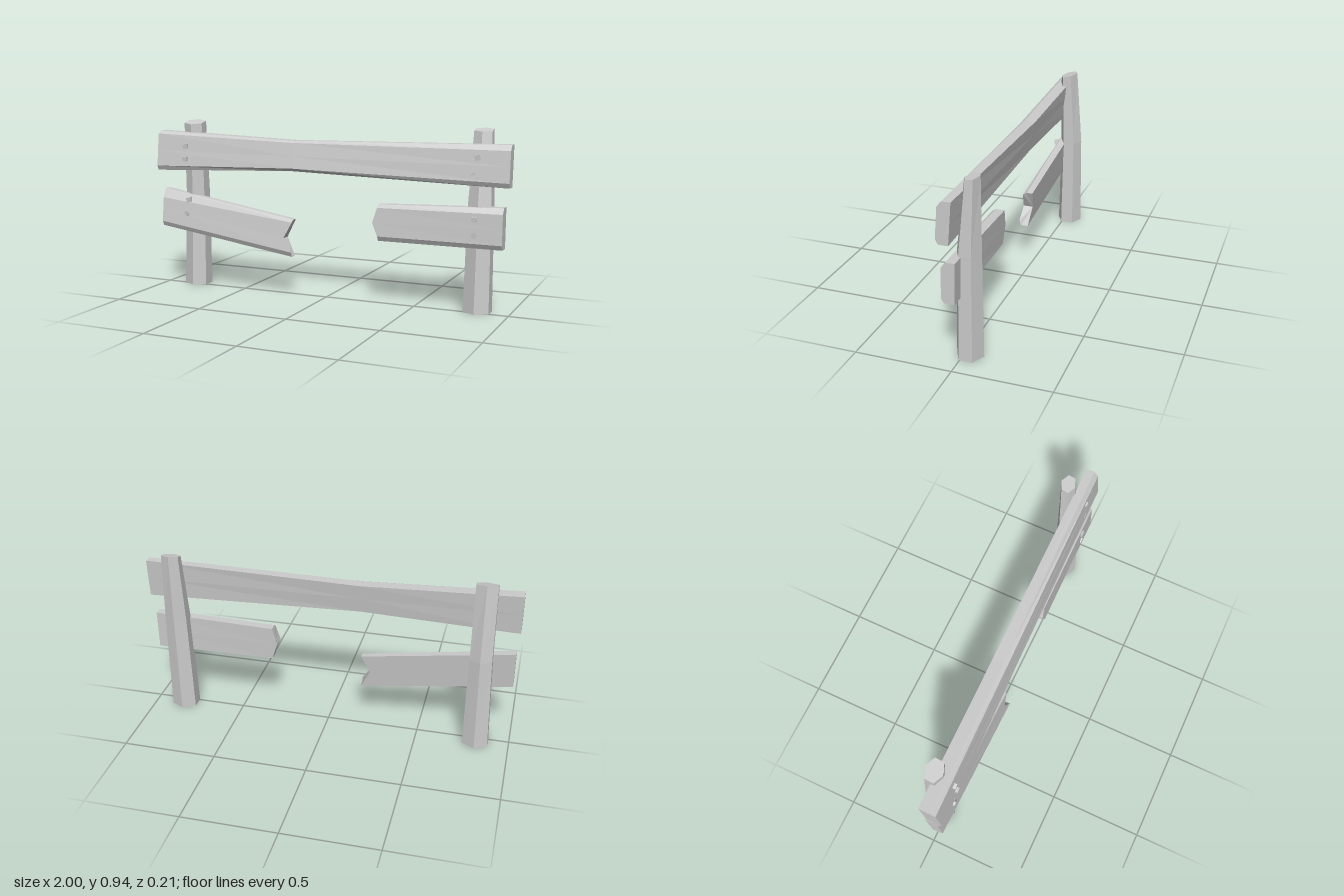
import * as THREE from 'three';

const material = new THREE.MeshStandardMaterial({ color: 0xcccccc, flatShading: true });

// Skin a run of rings; caps lists the polygons (ring indices) closing each end.
function loft(name, rings, caps) {
  const pos = [];
  const tri = (a, b, c) => pos.push(...a, ...b, ...c);
  const n = rings[0].length;
  for (let i = 0; i < rings.length - 1; i++) {
    for (let j = 0; j < n; j++) {
      const k = (j + 1) % n;
      const [a, b, c, d] = [rings[i][j], rings[i][k], rings[i + 1][k], rings[i + 1][j]];
      tri(a, b, c);
      tri(a, c, d);
    }
  }
  const first = rings[0], last = rings[rings.length - 1];
  for (const p of caps) {
    for (let i = 1; i < p.length - 1; i++) {
      tri(last[p[0]], last[p[i]], last[p[i + 1]]);
      tri(first[p[0]], first[p[i + 1]], first[p[i]]);
    }
  }
  const geo = new THREE.BufferGeometry();
  geo.setAttribute('position', new THREE.Float32BufferAttribute(pos, 3));
  geo.computeVertexNormals();
  const mesh = new THREE.Mesh(geo, material);
  mesh.name = name;
  return mesh;
}

// Plank cross-section: bevelled front edges, and a mid row so ends can be broken.
// x = [top, middle, bottom]; lean pushes the bottom forward.
function plankRing({ x, top, bottom, back, front, lean = 0.025, bevel = 0.03, under = 0.025 }) {
  const mid = (top + bottom) / 2;
  const at = (px, y, z) => [px, y, z + lean * (mid - y) / (top - bottom)];
  return [
    at(x[0], top, back),
    at(x[0], top, front - 0.02),
    at(x[0], top - bevel, front),
    at(x[1], mid, front),
    at(x[2], bottom + under, front),
    at(x[2], bottom, front - 0.015),
    at(x[2], bottom, back),
    at(x[1], mid, back),
  ];
}

const plank = (name, sections) =>
  loft(name, sections.map(plankRing), [[7, 0, 1, 2, 3], [7, 3, 4, 5, 6]]);

// Hexagonal post through sections [y, cx, cz, rx, rz, slope]
function post(name, sections) {
  const rings = sections.map(([y, cx, cz, rx, rz, slope = 0]) =>
    Array.from({ length: 6 }, (_, i) => {
      const a = (i * Math.PI) / 3;
      const dz = rz * Math.cos(a);
      return [cx + (rx * Math.sin(a)) / 0.866, y - slope * dz, cz + dz];
    }));
  return loft(name, rings, [[0, 1, 2, 3, 4, 5]]);
}

export function createModel() {
  const model = new THREE.Group();

  // Posts
  model.add(post('rightPost', [
    [0, -0.822, -0.03, 0.068, 0.07],
    [0.52, -0.816, -0.032, 0.058, 0.062],
    [0.93, -0.815, -0.012, 0.056, 0.048, 0.25],
  ]));
  model.add(post('leftPost', [
    [0, 0.832, -0.03, 0.068, 0.07],
    [0.55, 0.837, -0.038, 0.06, 0.062],
    [0.93, 0.838, -0.062, 0.047, 0.039, 0.2],
  ]));

  // Full-length top rail, pinched near the middle
  model.add(plank('topRail', [
    { x: [-1, -1, -1], top: 0.88, bottom: 0.66, back: 0.005, front: 0.092, bevel: 0.015 },
    { x: [-0.17, -0.17, -0.17], top: 0.848, bottom: 0.688, back: -0.005, front: 0.074, bevel: 0.01, under: 0.015 },
    { x: [1, 1, 1], top: 0.865, bottom: 0.653, back: -0.015, front: 0.05, lean: 0.018, bevel: 0.028 },
  ]));

  // Broken lower rail with a notched end
  model.add(plank('brokenRailRight', [
    { x: [-0.99, -0.99, -0.99], top: 0.55, bottom: 0.34, back: 0.005, front: 0.068, bevel: 0.05 },
    { x: [-0.18, -0.225, -0.175], top: 0.42, bottom: 0.22, back: 0.015, front: 0.068, bevel: 0.014 },
  ]));

  // Broken lower rail with a blunt, bulging end
  model.add(plank('brokenRailLeft', [
    { x: [0.31, 0.285, 0.315], top: 0.532, bottom: 0.343, back: -0.01, front: 0.058, lean: 0.01, bevel: 0.015 },
    { x: [0.97, 0.97, 0.97], top: 0.552, bottom: 0.341, back: -0.018, front: 0.05, lean: 0.006, bevel: 0.03 },
  ]));

  // Square nail heads: x, y, z, twist
  const nails = [
    [-0.82, 0.8, 0.085, 0.1], [-0.82, 0.73, 0.092, 0],
    [-0.82, 0.495, 0.06, 0.2], [-0.83, 0.42, 0.062, 0.7],
    [0.835, 0.8, 0.042, 0.15], [0.82, 0.71, 0.044, 0.6],
    [0.825, 0.49, 0.047, -0.15], [0.825, 0.41, 0.044, 0.5],
  ];
  const nailGeo = new THREE.BoxGeometry(0.026, 0.026, 0.026);
  for (const [x, y, z, twist] of nails) {
    const nail = new THREE.Mesh(nailGeo, material);
    nail.name = 'nail';
    nail.position.set(x, y, z);
    nail.rotation.set(0.1, 0.1, twist);
    model.add(nail);
  }
  return model;
}
